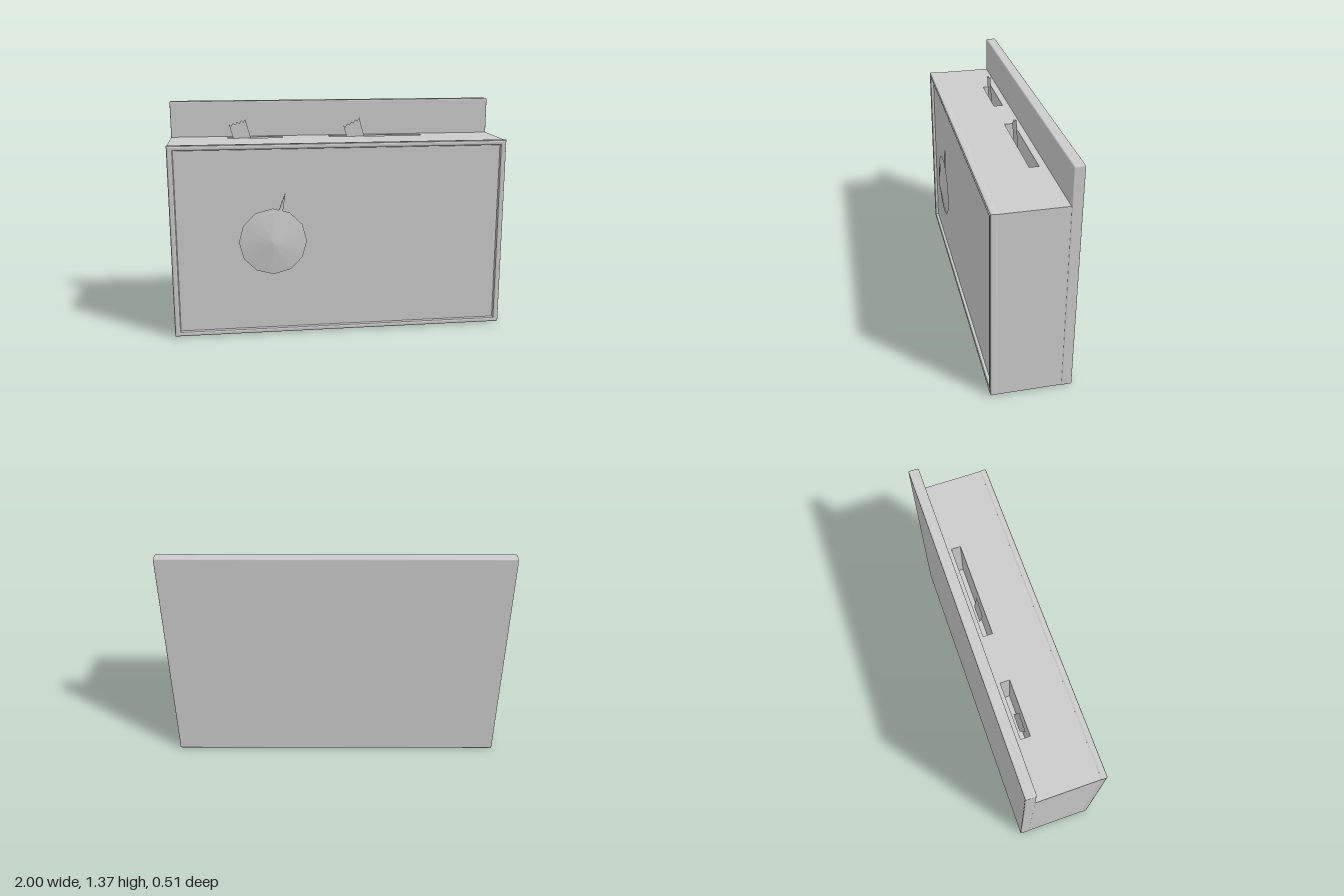
import * as THREE from 'three';
import { RoundedBoxGeometry } from 'three/addons/geometries/RoundedBoxGeometry.js';

const grey = new THREE.MeshStandardMaterial({ color: 0xcccccc, side: THREE.DoubleSide });

function rect(Type, x0, y0, x1, y1) {
  return new Type([[x0, y0], [x1, y0], [x1, y1], [x0, y1]].map(p => new THREE.Vector2(...p)));
}

function polygon(points) {
  return new THREE.Shape(points.map(p => new THREE.Vector2(...p)));
}

export function createModel() {
  const model = new THREE.Group();
  const add = (name, geometry, x = 0, y = 0, z = 0) => {
    const mesh = new THREE.Mesh(geometry, grey);
    mesh.name = name;
    mesh.position.set(x, y, z);
    model.add(mesh);
    return mesh;
  };

  const topY = 1.152, slotFloor = 0.85, backZ = -0.25, panelZ = 0.195;

  // Solid lower case, its front face forming the sunken panel
  const depth = panelZ - backZ;
  add('lowerCase', new THREE.BoxGeometry(1.996, slotFloor - 0.005, depth),
    0, (slotFloor + 0.005) / 2, (panelZ + backZ) / 2);

  // Upper case, pierced by a short and a long slot
  const top = rect(THREE.Shape, -0.998, -panelZ, 0.998, -backZ);
  for (const [x0, x1] of [[-0.655, -0.32], [-0.03, 0.55]]) {
    top.holes.push(rect(THREE.Path, x0, 0.095, x1, 0.15));
  }
  const upper = new THREE.ExtrudeGeometry(top, { depth: topY - slotFloor, bevelEnabled: false });
  upper.rotateX(-Math.PI / 2);
  add('upperCase', upper, 0, slotFloor, 0);

  // Raised, softly bevelled rim around the front panel
  const bevel = 0.01;
  const rim = rect(THREE.Shape, -1 + bevel, 0.005 + bevel, 1 - bevel, 1.155 - bevel);
  rim.holes.push(rect(THREE.Path, -0.965 - bevel, 0.035 - bevel, 0.965 + bevel, 1.125 + bevel));
  add('frontRim', new THREE.ExtrudeGeometry(rim, {
    depth: 0.02, bevelEnabled: true, bevelSize: bevel, bevelThickness: bevel, bevelSegments: 2,
  }), 0, 0, 0.185);

  // Tall back board
  add('backBoard', new RoundedBoxGeometry(2, 1.37, 0.062, 2, 0.008), 0, 0.685, -0.221);

  // Shallow conical dial and its pointer
  const dial = new THREE.ConeGeometry(0.2, 0.027, 12);
  dial.rotateX(Math.PI / 2);
  add('dial', dial, -0.405, 0.58, 0.2425);
  add('dialPointer', new THREE.ExtrudeGeometry(
    polygon([[-0.41, 0.66], [-0.36, 0.66], [-0.345, 0.757], [-0.328, 0.87]]),
    { depth: 0.006, bevelEnabled: false }), 0, 0, 0.222);

  // Thin strips with jagged tops leaning out of the slots
  const strip = (x, left, right) => {
    const outline = [[x + 0.135, 0.95], [x, 0.95]];
    outline[0][0] += 0.05;
    outline[1][0] += 0.08;
    const teeth = 4;
    for (let i = 0; i <= teeth * 2; i++) {
      const t = i / (teeth * 2);
      outline.push([
        x + t * 0.1,
        left + t * (right - left) - (i % 2 ? 0.016 : 0),
      ]);
    }
    return new THREE.ShapeGeometry(polygon(outline));
  };
  add('leftStrip', strip(-0.645, 1.235, 1.265), 0, 0, -0.12);
  add('rightStrip', strip(0.06, 1.218, 1.265), 0, 0, -0.12);

  return model;
}
